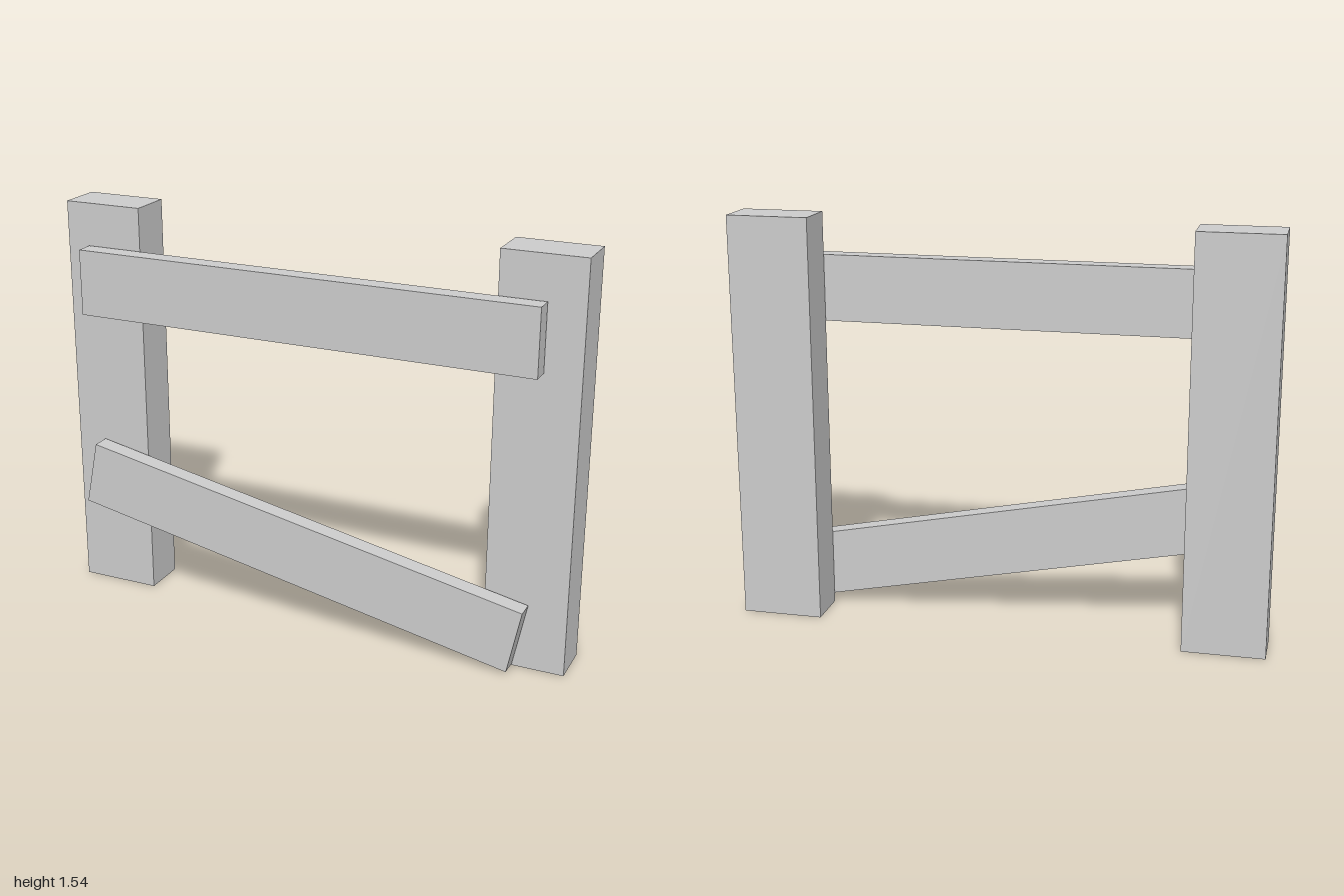
import * as THREE from 'three';

export function createModel() {
  const model = new THREE.Group();
  model.name = 'fenceSection';
  const material = new THREE.MeshStandardMaterial({ color: 0xcccccc, flatShading: true });

  function addBeam(name, [w, h, d], [x, y, z], tilt = 0) {
    const beam = new THREE.Mesh(new THREE.BoxGeometry(w, h, d), material);
    beam.name = name;
    beam.position.set(x, y, z);
    beam.rotation.z = tilt;
    model.add(beam);
  }

  // Upright posts
  for (const side of [-1, 1]) {
    addBeam(side > 0 ? 'leftPost' : 'rightPost', [0.307, 1.54, 0.17], [side * 0.8465, 0.77, -0.038]);
  }

  // Equal planks just in front of the posts: one level, one slipped down at an angle
  const plank = [1.775, 0.25, 0.07];
  addBeam('upperRail', plank, [-0.021, 1.254, 0.088]);
  addBeam('lowerRail', plank, [-0.037, 0.309, 0.088], -0.2);

  return model;
}
